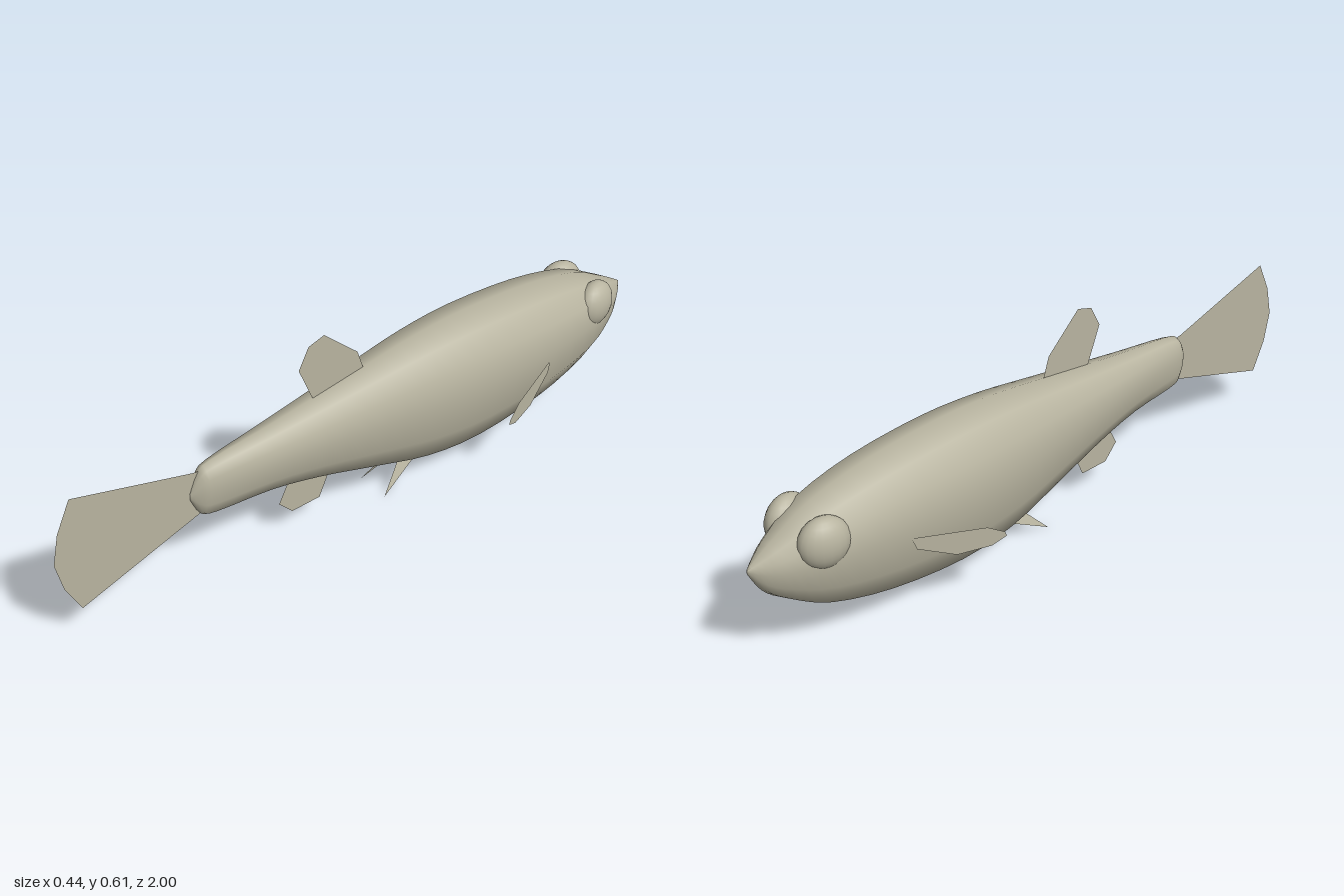
import * as THREE from 'three';

const skin = new THREE.MeshStandardMaterial({ color: 0xb8b4a0 });
skin.name = 'skin';
const finSkin = new THREE.MeshStandardMaterial({ color: 0xb8b4a0, side: THREE.DoubleSide });
finSkin.name = 'finSkin';

// Cross-sections from snout to tail root: z, top y, bottom y, half width
const SECTIONS = [
  [-1.0, 0.305, 0.29, 0.004],
  [-0.965, 0.328, 0.228, 0.034],
  [-0.91, 0.36, 0.18, 0.068],
  [-0.8, 0.415, 0.115, 0.108],
  [-0.61, 0.455, 0.062, 0.132],
  [-0.37, 0.473, 0.035, 0.138],
  [-0.18, 0.467, 0.052, 0.126],
  [0, 0.445, 0.105, 0.104],
  [0.19, 0.42, 0.165, 0.08],
  [0.35, 0.401, 0.2, 0.059],
  [0.52, 0.384, 0.211, 0.036],
  [0.562, 0.362, 0.228, 0.024],
  [0.59, 0.305, 0.285, 0.004],
];

function bodyGeometry() {
  const SIDES = 12, STEPS = 36;
  const curve = k => new THREE.SplineCurve(SECTIONS.map(s => new THREE.Vector2(s[0], s[k])));
  const [top, bottom, width] = [1, 2, 3].map(curve);
  const pos = [], index = [];
  for (let i = 0; i <= STEPS; i++) {
    const t = i / STEPS;
    const { x: z, y: yTop } = top.getPoint(t);
    const yBottom = bottom.getPoint(t).y, w = width.getPoint(t).y;
    const mid = yBottom + (yTop - yBottom) * 0.585;
    for (let j = 0; j < SIDES; j++) {
      const a = (j / SIDES) * Math.PI * 2, s = Math.sin(a), c = Math.cos(a);
      // slightly squarer than an ellipse
      const x = Math.sign(s) * Math.pow(Math.abs(s), 0.85) * w;
      pos.push(x, mid + c * (c > 0 ? yTop - mid : mid - yBottom), z);
    }
  }
  for (let i = 0; i < STEPS; i++) {
    for (let j = 0; j < SIDES; j++) {
      const a = i * SIDES + j, b = i * SIDES + (j + 1) % SIDES;
      index.push(a, a + SIDES, b, b, a + SIDES, b + SIDES);
    }
  }
  // end caps
  const last = STEPS * SIDES;
  for (let j = 1; j < SIDES - 1; j++) {
    index.push(0, j, j + 1);
    index.push(last, last + j + 1, last + j);
  }
  const g = new THREE.BufferGeometry();
  g.setAttribute('position', new THREE.Float32BufferAttribute(pos, 3));
  g.setIndex(index);
  g.computeVertexNormals();
  return g;
}

// Flat fin from a (z, y) outline; xOf places it sideways
function fin(name, outline, xOf = () => 0) {
  const g = new THREE.ShapeGeometry(new THREE.Shape(outline.map(p => new THREE.Vector2(...p))));
  const p = g.attributes.position;
  for (let i = 0; i < p.count; i++) {
    const z = p.getX(i), y = p.getY(i);
    p.setXYZ(i, xOf(z, y), y, z);
  }
  g.computeVertexNormals();
  const m = new THREE.Mesh(g, finSkin);
  m.name = name;
  return m;
}

export function createModel() {
  const fish = new THREE.Group();
  fish.name = 'fish';

  const body = new THREE.Mesh(bodyGeometry(), skin);
  body.name = 'body';
  fish.add(body);

  // Fins on the centre line
  fish.add(
    fin('tailFin', [[0.55, 0.365], [0.578, 0.37], [0.936, 0.476], [0.98, 0.385], [1, 0.295],
      [0.98, 0.203], [0.936, 0.114], [0.578, 0.222], [0.55, 0.23]]),
    fin('dorsalFin', [[0.17, 0.39], [0.182, 0.42], [0.226, 0.53], [0.192, 0.592], [0.14, 0.607],
      [0.027, 0.503], [0, 0.42]]),
    fin('analFin', [[0.25, 0.21], [0.272, 0.18], [0.306, 0.118], [0.262, 0.07], [0.166, 0.07],
      [0.128, 0.15], [0.13, 0.18]]),
  );

  // Paired parts
  for (const [side, s] of [['left', 1], ['right', -1]]) {
    const eye = new THREE.Mesh(new THREE.SphereGeometry(1, 20, 14), skin);
    eye.name = side + 'Eye';
    eye.scale.set(0.046, 0.072, 0.072);
    eye.position.set(s * 0.072, 0.335, -0.82);
    eye.rotation.y = s * 0.2;
    fish.add(eye);

    fish.add(fin(side + 'PectoralFin', [[-0.59, 0.262], [-0.575, 0.262], [-0.396, 0.24], [-0.35, 0.214],
      [-0.345, 0.2], [-0.385, 0.181], [-0.476, 0.18], [-0.578, 0.228]],
      z => s * (0.13 + (z + 0.59) * 0.365)));

    fish.add(fin(side + 'PelvicFin', [[-0.19, 0.085], [-0.17, 0.068], [-0.027, 0], [-0.1, 0.075], [-0.11, 0.1]],
      (z, y) => s * (0.053 - y * 0.4)));
  }
  return fish;
}
